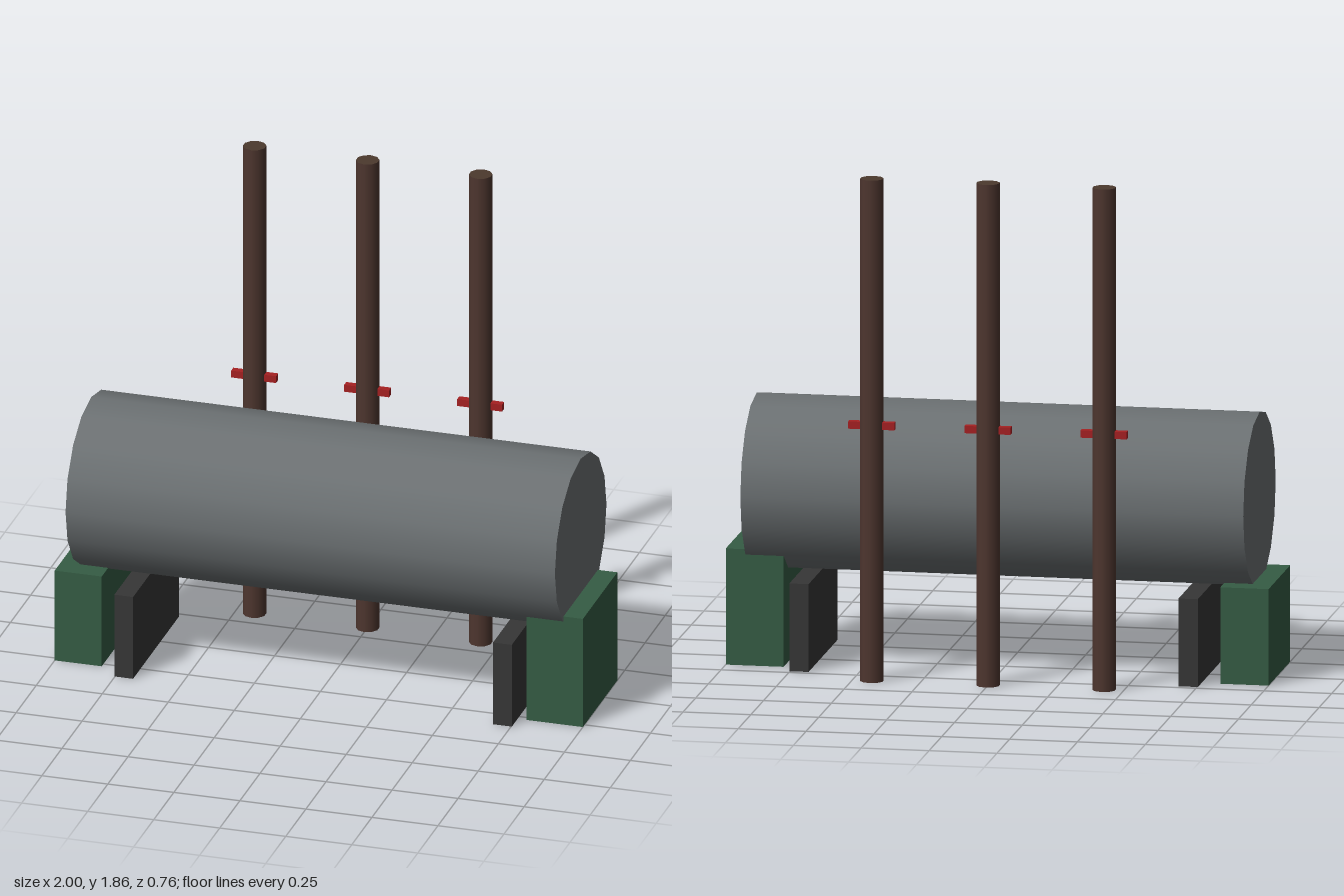
import * as THREE from 'three';

const paint = (name, color) => {
  const m = new THREE.MeshStandardMaterial({ color });
  m.name = name;
  return m;
};

export function createModel() {
  const model = new THREE.Group();
  model.name = 'tankWithPipes';

  const steel = paint('greySteel', 0x6b7072);
  const green = paint('greenPaint', 0x355c44);
  const dark = paint('darkSupport', 0x363636);
  const brown = paint('brownPipe', 0x4e362f);
  const cap = paint('pipeEnd', 0x4c3a2e);
  const red = paint('redHandle', 0xa62022);

  const add = (name, geometry, material, x, y, z) => {
    const mesh = new THREE.Mesh(geometry, material);
    mesh.name = name;
    mesh.position.set(x, y, z);
    model.add(mesh);
    return mesh;
  };
  const box = (name, material, w, h, d, x, y, z) =>
    add(name, new THREE.BoxGeometry(w, h, d), material, x, y, z);

  // Horizontal tank, one corner of its sixteen sides on top
  const tank = new THREE.CylinderGeometry(0.32, 0.32, 1.853, 16).rotateZ(Math.PI / 2);
  add('tank', tank, steel, 0, 0.645, 0.057);

  // Cross supports under the tank
  for (const side of [-1, 1]) {
    box(side < 0 ? 'rightSupport' : 'leftSupport', dark,
      0.071, 0.325, 0.57, side * 0.717, 0.1625, 0.057);
  }

  // Machine housings at the two ends, the left one larger
  box('rightHousing', green, 0.178, 0.357, 0.427, -0.911, 0.1785, 0.057);
  box('leftHousing', green, 0.213, 0.43, 0.427, 0.8935, 0.215, 0.057);

  // Upright pipes behind the tank, each with a cross handle
  const pipe = new THREE.CylinderGeometry(0.0428, 0.0428, 1.86, 10);
  for (const x of [-0.428, 0, 0.428]) {
    add('pipe', pipe, [brown, cap, cap], x, 0.93, -0.336);
    box('valveHandle', red, 0.17, 0.027, 0.027, x, 0.946, -0.336);
  }

  return model;
}
